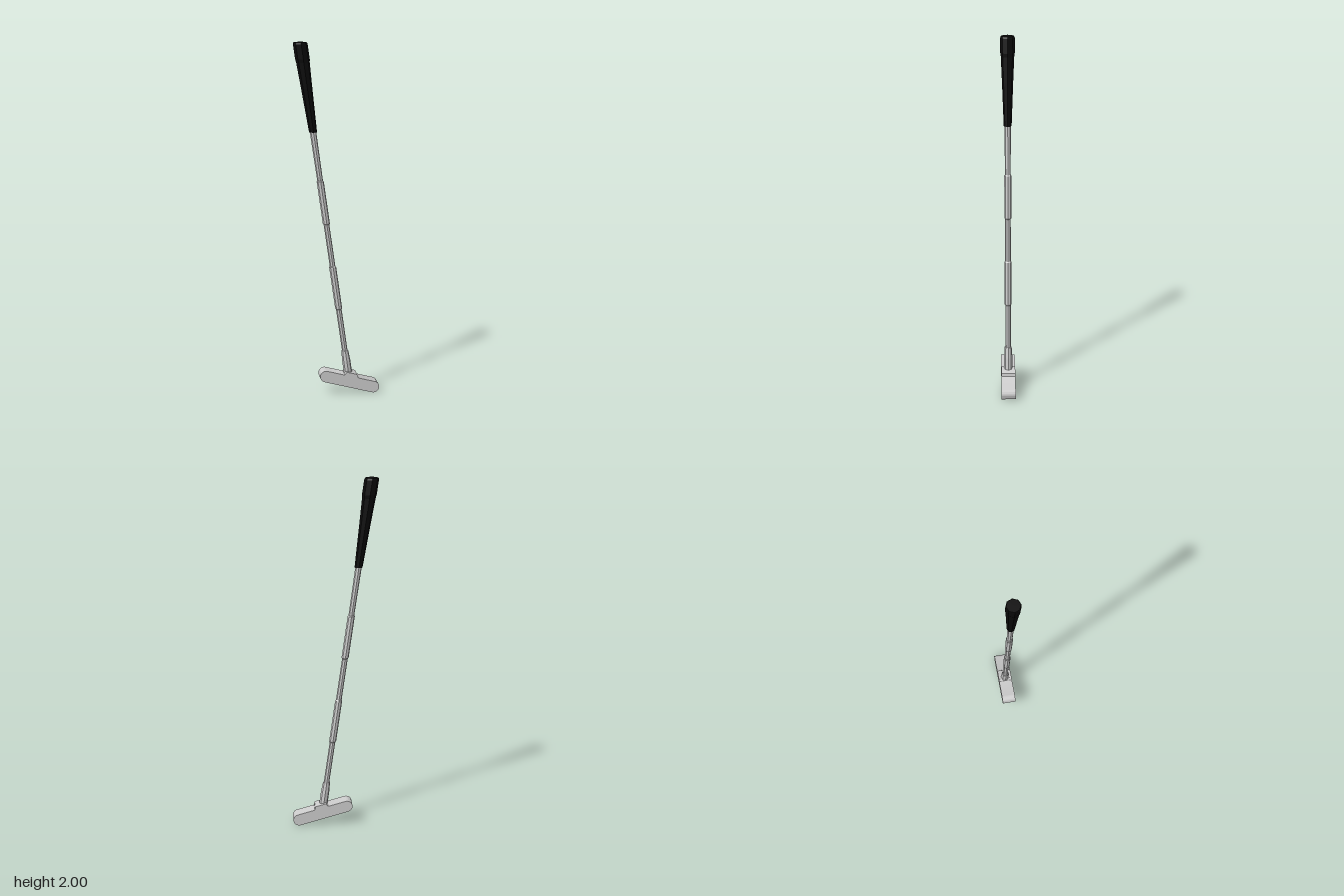
import * as THREE from 'three';
import { toCreasedNormals } from 'three/addons/utils/BufferGeometryUtils.js';

const metal = new THREE.MeshStandardMaterial({ color: 0xcccccc, flatShading: true });
const headMetal = new THREE.MeshStandardMaterial({ color: 0xcccccc });
const rubber = new THREE.MeshStandardMaterial({ color: 0x0a0a0a, flatShading: true });

// Leaning axis of the club: x = AXIS_X + LEAN * y
const AXIS_X = 0.082;
const LEAN = -0.141;

// Eight-sided turned part from [radius, height] pairs, slanted along the axis
function turned(name, profile, material) {
  const points = profile.map(([r, y]) => new THREE.Vector2(r, y));
  const geometry = new THREE.LatheGeometry(points, 8);
  const position = geometry.attributes.position;
  for (let i = 0; i < position.count; i++) {
    position.setX(i, position.getX(i) + AXIS_X + LEAN * position.getY(i));
  }
  geometry.computeVertexNormals();
  const mesh = new THREE.Mesh(geometry, material);
  mesh.name = name;
  return mesh;
}

// Round-ended bar with a raised seat for the hosel
function head() {
  const h = 0.143, r = 0.033, top = 0.052;
  const s = new THREE.Shape();
  s.moveTo(-h, -r);
  s.lineTo(h, -r);
  s.absarc(h, 0, r, -Math.PI / 2, Math.PI / 2, false);
  s.lineTo(0.048, r);
  s.quadraticCurveTo(0.037, r, 0.036, 0.043);
  s.quadraticCurveTo(0.034, top, 0.026, top);
  s.lineTo(-0.026, top);
  s.quadraticCurveTo(-0.034, top, -0.036, 0.043);
  s.quadraticCurveTo(-0.037, r, -0.048, r);
  s.lineTo(-h, r);
  s.absarc(-h, 0, r, Math.PI / 2, Math.PI * 1.5, false);
  const geometry = new THREE.ExtrudeGeometry(s, { depth: 0.08, bevelEnabled: false, curveSegments: 12 });
  geometry.translate(0, 0, -0.04);
  const mesh = new THREE.Mesh(toCreasedNormals(geometry, 0.6), headMetal);
  mesh.name = 'head';
  mesh.position.set(0.07, 0.0725, 0);
  mesh.rotation.z = -0.27;
  return mesh;
}

export function createModel() {
  const group = new THREE.Group();
  group.name = 'putter';
  group.add(
    head(),
    // Collar joining the shaft to the head
    turned('hosel', [[0, 0.1], [0.024, 0.1], [0.024, 0.19], [0.02, 0.25], [0, 0.25]], metal),
    // Stepped shaft
    turned('shaft', [
      [0.016, 0.2], [0.016, 0.495], [0.02, 0.5], [0.02, 0.745], [0.016, 0.75],
      [0.016, 0.99], [0.02, 0.995], [0.02, 1.235], [0.016, 1.24], [0.018, 1.53],
    ], metal),
    // Tapered grip
    turned('grip', [
      [0, 1.51], [0.022, 1.51], [0.031, 1.75], [0.037, 1.89], [0.04, 1.91],
      [0.04, 1.99], [0.036, 2], [0, 2],
    ], rubber),
  );
  return group;
}
